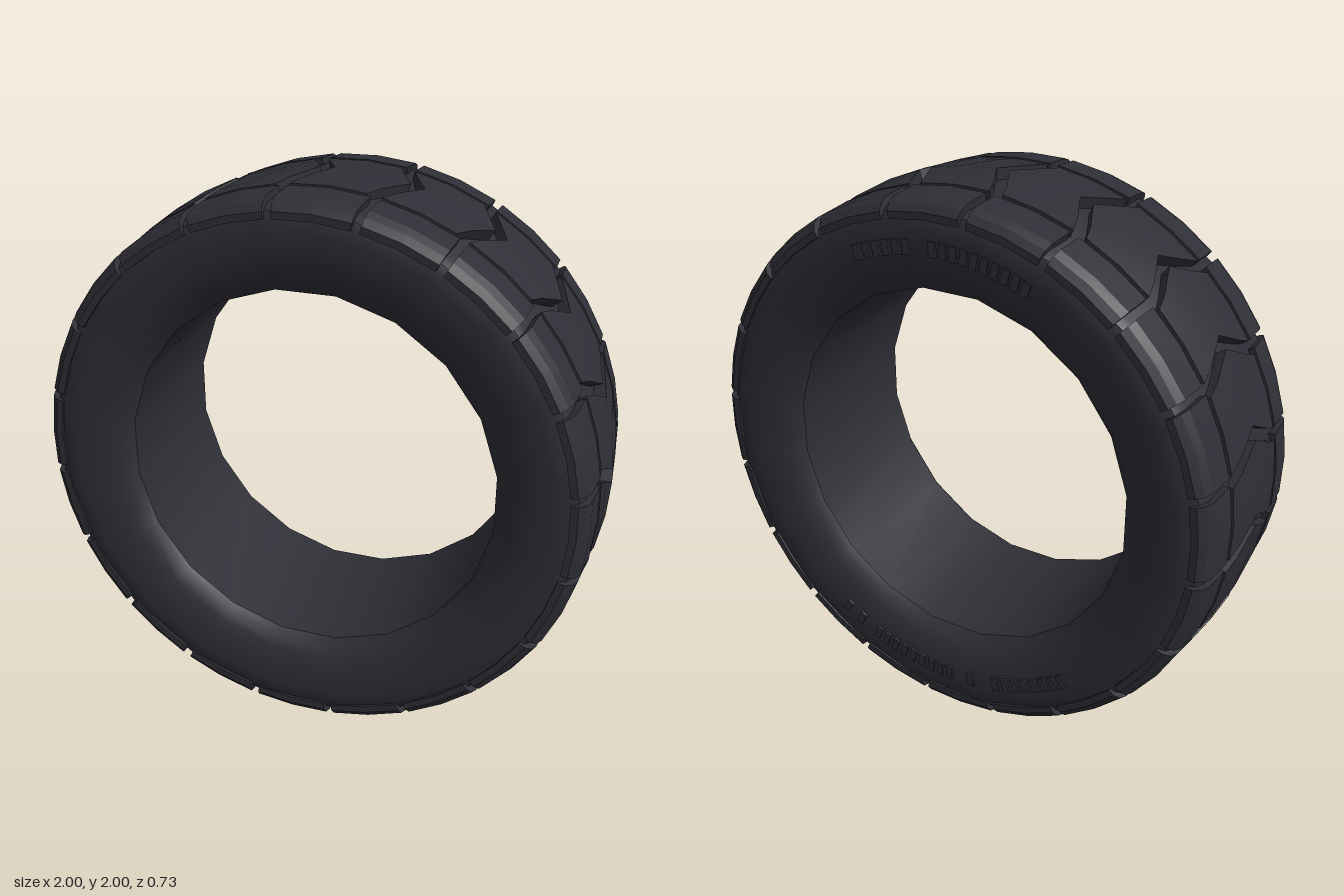
import * as THREE from 'three';
import { toCreasedNormals } from 'three/addons/utils/BufferGeometryUtils.js';

const BLOCKS = 20;
const DEG = Math.PI / 180;
const PITCH = 360 / BLOCKS;

const rubber = new THREE.MeshStandardMaterial({ color: 0x2e2e36 });
rubber.name = 'dark rubber';

// Tread block bent round the wheel. Sections run along z: [z, top radius, angle shift].
function treadBlock(sections, from, to, bottom) {
  const nz = sections.length - 1;
  const geo = new THREE.BoxGeometry(1, 1, 1, 2, 1, nz);
  const p = geo.attributes.position;
  for (let i = 0; i < p.count; i++) {
    const [z, top, shift] = sections[Math.round((p.getZ(i) + 0.5) * nz)];
    const a = (to + (from - to) * (p.getX(i) + 0.5) + shift) * DEG;
    const r = p.getY(i) > 0 ? top : bottom;
    p.setXYZ(i, r * Math.cos(a), r * Math.sin(a), z);
  }
  return toCreasedNormals(geo, 0.3);
}

const mirrorZ = (sections) => sections.map(([z, r, s]) => [-z, r, s]).reverse();

export function createModel() {
  const tire = new THREE.Group();
  tire.name = 'tire';
  const wheel = new THREE.Group();
  wheel.name = 'wheel';
  wheel.position.y = 1;
  tire.add(wheel);

  const add = (geo, name, parent = wheel) => {
    const mesh = new THREE.Mesh(geo, rubber);
    mesh.name = name;
    parent.add(mesh);
    return mesh;
  };

  // Carcass: hollow ring with rounded sidewalls
  const side = [
    [0.667, 0.29], [0.69, 0.315], [0.725, 0.337], [0.77, 0.352],
    [0.82, 0.36], [0.87, 0.363], [0.915, 0.36], [0.945, 0.345], [0.962, 0.31],
  ];
  const loop = [
    ...side.map(([r, z]) => [r, -z]),
    [0.97, 0],
    ...side.slice().reverse(),
    [0.667, -0.29],
  ].map(([r, z]) => new THREE.Vector2(r, z));
  const carcass = new THREE.LatheGeometry(loop, BLOCKS, Math.PI / BLOCKS);
  carcass.rotateX(Math.PI / 2);
  add(toCreasedNormals(carcass, 0.6), 'carcass');

  // Tread: a chevron row in the middle and a shoulder row on each side
  const chevron = [
    [-0.187, 0.986, 0.5], [-0.12, 0.993, -1], [0, 1.0, -4.5],
    [0.12, 0.993, -1], [0.187, 0.986, 0.5],
  ];
  const shoulder = [
    [0.206, 0.985, 0], [0.315, 0.977, 0], [0.347, 0.964, 0], [0.365, 0.94, 0],
  ];
  const rows = [
    ['centerBlock', treadBlock(chevron, 7.4, 4.6 + PITCH, 0.93)],
    ['frontShoulderBlock', treadBlock(shoulder, 6.9, 5.1 + PITCH, 0.915)],
    ['backShoulderBlock', treadBlock(mirrorZ(shoulder), 6.9, 5.1 + PITCH, 0.915)],
  ];
  for (const [name, geo] of rows) {
    for (let k = 0; k < BLOCKS; k++) {
      add(geo, name).rotation.z = k * PITCH * DEG;
    }
  }

  // Raised bars on the back sidewall: [start angle, end angle, count]
  const bars = new THREE.Group();
  bars.name = 'sidewallBars';
  wheel.add(bars);
  const bar = new THREE.BoxGeometry(0.052, 0.026, 0.012);
  const runs = [
    [68, 82, 6], [89, 113, 10],
    [-57, -62, 2], [-68, -91, 9], [-97.5, -97.5, 1], [-105, -126, 8],
  ];
  for (const [start, end, count] of runs) {
    for (let i = 0; i < count; i++) {
      const a = (start + (end - start) * (count > 1 ? i / (count - 1) : 0)) * DEG;
      const mesh = add(bar, 'sidewallBar', bars);
      mesh.position.set(0.825 * Math.cos(a), 0.825 * Math.sin(a), -0.362);
      mesh.rotation.z = a;
    }
  }
  return tire;
}
